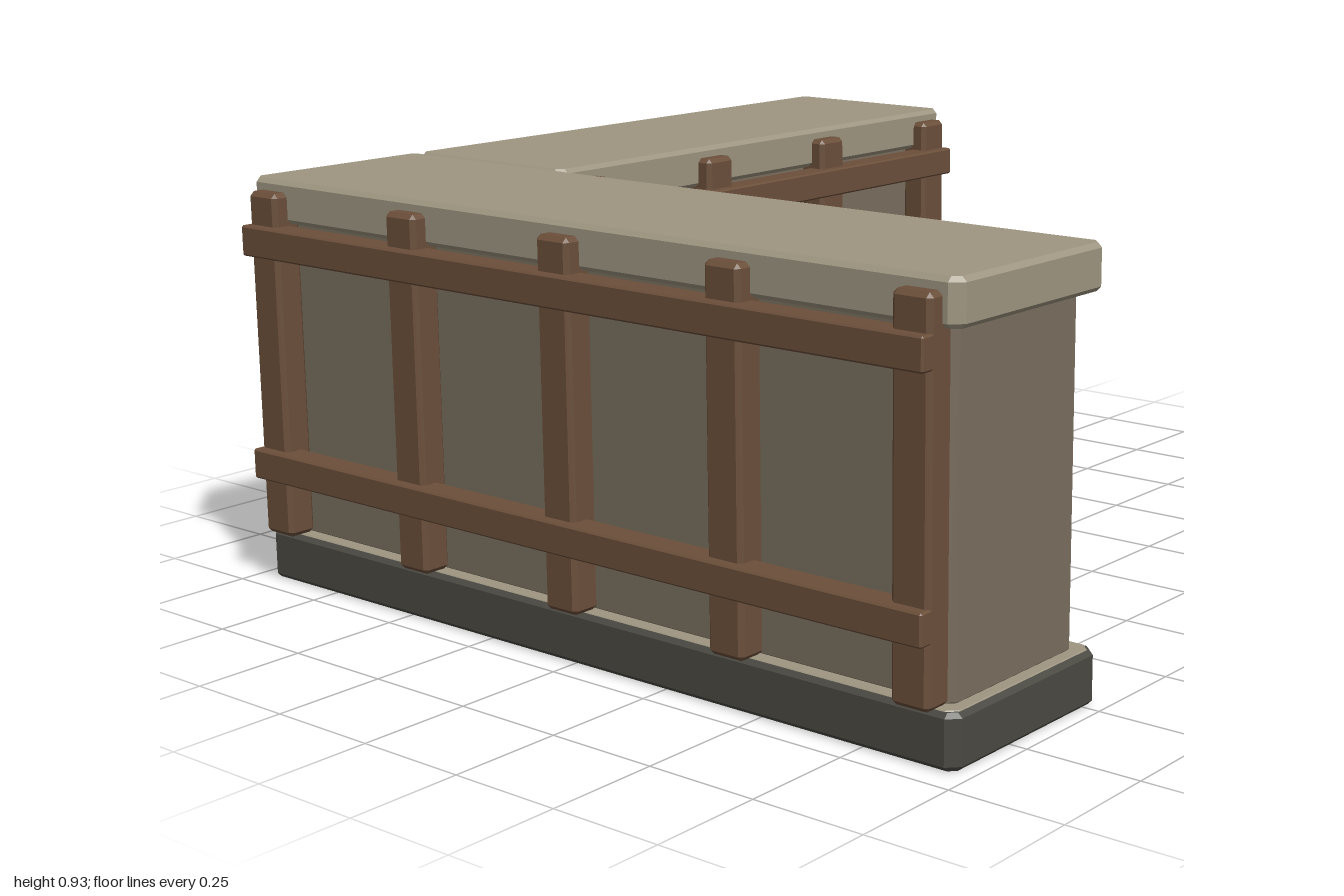
import * as THREE from 'three';
import { ConvexGeometry } from 'three/addons/geometries/ConvexGeometry.js';

const mat = (color) => new THREE.MeshStandardMaterial({ color, flatShading: true });
const stone = mat(0x9e9681);
const plaster = mat(0x796e5e);
const darkStone = mat(0x4a4942);
const wood = mat(0x6b4f3a);

// Box with cut edges: c is the edge cut, k the larger cut on the upright corners
function chamferBox(w, h, d, c, k = c) {
  const points = [];
  for (const sx of [-1, 1]) for (const sy of [-1, 1]) for (const sz of [-1, 1]) {
    const add = (x, y, z) => points.push(new THREE.Vector3(sx * x, sy * y, sz * z));
    add(w / 2, h / 2 - c, d / 2 - k);
    add(w / 2 - k, h / 2 - c, d / 2);
    add(w / 2 - c, h / 2, d / 2 - k);
    add(w / 2 - k, h / 2, d / 2 - c);
  }
  return new ConvexGeometry(points);
}

// One counter, centred on its own x and z, with the timber frame on +z
function counter(name, length, depth, postCount) {
  const group = new THREE.Group();
  group.name = name;
  const add = (part, geometry, material, x, y, z) => {
    const mesh = new THREE.Mesh(geometry, material);
    mesh.name = part;
    mesh.position.set(x, y, z);
    group.add(mesh);
  };
  const front = depth / 2;

  // Plinth with a pale ledge, panelled body and worktop
  add('base', chamferBox(length, 0.114, depth, 0.01, 0.024), darkStone, 0, 0.057, 0);
  add('baseLedge', chamferBox(length - 0.02, 0.008, depth - 0.02, 0.002, 0.02), stone, 0, 0.112, 0);
  add('body', chamferBox(length - 0.07, 0.73, depth - 0.08, 0.008, 0.016), plaster, 0, 0.475, 0);
  add('worktop', chamferBox(length, 0.095, depth, 0.01, 0.024), stone, 0, 0.878, 0);

  // Upright posts
  const postGeometry = chamferBox(0.09, 0.78, 0.07, 0.01);
  const reach = length / 2 - 0.08;
  for (let i = 0; i < postCount; i++) {
    const x = -reach + (2 * reach * i) / (postCount - 1);
    add('post', postGeometry, wood, x, 0.51, front);
  }

  // Horizontal rails standing proud of the posts
  const railGeometry = chamferBox(length - 0.07, 0.068, 0.065, 0.004);
  for (const y of [0.285, 0.793]) add('rail', railGeometry, wood, 0, y, front + 0.0255);
  return group;
}

export function createModel() {
  const model = new THREE.Group();
  model.name = 'cornerCounter';

  const frontCounter = counter('frontCounter', 1.94, 0.485, 5);
  frontCounter.position.set(0, 0, 0.6985);

  const sideCounter = counter('sideCounter', 1.452, 0.48, 4);
  sideCounter.rotation.y = Math.PI / 2;
  sideCounter.position.set(-0.73, 0, -0.274);

  model.add(frontCounter, sideCounter);
  return model;
}
